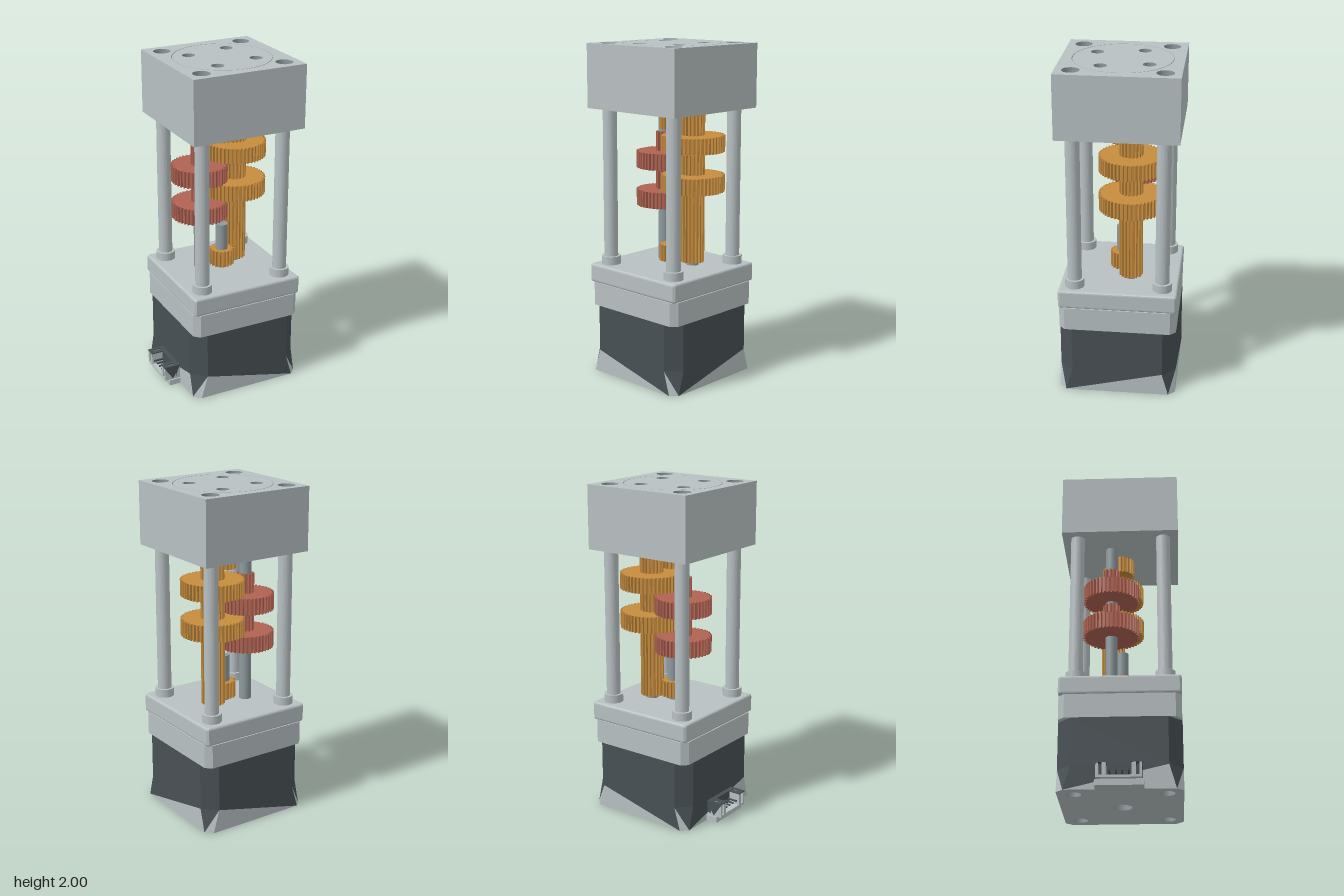
import * as THREE from 'three';

const mat = (name, color, side = THREE.FrontSide) => {
  const m = new THREE.MeshStandardMaterial({ color, side });
  m.name = name;
  return m;
};

const CX = 0.05, HALF = 0.352;
const HOLE_X = 0.26, HOLE_Z = 0.26;

export function createModel() {
  const silver = mat('silver', 0xb8c0c2);
  const steel = mat('steel', 0x8e9a9e, THREE.DoubleSide);
  const dark = mat('charcoal', 0x485054);
  const gold = mat('brass', 0xc68c3e);
  const red = mat('copper red', 0xb06352);

  const root = new THREE.Group();
  const model = new THREE.Group();
  root.add(model);

  const add = (name, geo, material, x = 0, y = 0, z = 0) => {
    const mesh = new THREE.Mesh(geo, material);
    mesh.name = name;
    mesh.position.set(x, y, z);
    model.add(mesh);
    return mesh;
  };
  const box = (name, material, x0, x1, y0, y1, z0, z1) =>
    add(name, new THREE.BoxGeometry(x1 - x0, y1 - y0, z1 - z0), material,
      (x0 + x1) / 2, (y0 + y1) / 2, (z0 + z1) / 2);
  const rod = (name, material, r, y0, y1, x, z) =>
    add(name, new THREE.CylinderGeometry(r, r, y1 - y0, 32), material, x, (y0 + y1) / 2, z);
  const liner = (name, material, r, y0, y1, x, z) =>
    add(name, new THREE.CylinderGeometry(r, r, y1 - y0, 32, 1, true), material, x, (y0 + y1) / 2, z);
  const ring = (name, material, r0, r1, x, y, z, up = 1) =>
    add(name, new THREE.RingGeometry(r0, r1, 64).rotateX(-up * Math.PI / 2), material, x, y, z);

  // Square outline with cut corners, counter-clockwise from the front edge
  const outline = (c, h = HALF) => [
    [-h + c, -h], [h - c, -h], [h, -h + c], [h, h - c],
    [h - c, h], [-h + c, h], [-h, h - c], [-h, -h + c],
  ].map(([x, s]) => new THREE.Vector2(x, s));
  const circle = (x, z, r) => new THREE.Path().absarc(x, -z, r, 0, Math.PI * 2, true);
  const corners = [];
  for (const sx of [-1, 1]) for (const sz of [-1, 1]) corners.push([sx * HOLE_X, sz * HOLE_Z]);
  const cornerHoles = r => corners.map(([x, z]) => circle(x, z, r));

  const slabGeo = (shape, y0, y1, bevel = 0) =>
    new THREE.ExtrudeGeometry(shape, {
      depth: y1 - y0 - 2 * bevel, curveSegments: 32, bevelEnabled: bevel > 0,
      bevelSize: bevel, bevelThickness: bevel, bevelOffset: -bevel, bevelSegments: 3,
    }).rotateX(-Math.PI / 2).translate(0, y0 + bevel, 0);
  const slab = (name, material, pts, holes, y0, y1, bevel) => {
    const shape = new THREE.Shape(pts);
    shape.holes.push(...holes);
    return add(name, slabGeo(shape, y0, y1, bevel), material, CX);
  };

  // Motor: dark core, silver upper cap, mounting plate
  slab('motorCore', dark, outline(0.08), cornerHoles(0.031), 0.14, 0.42);
  slab('motorUpperCap', silver, outline(0.035, 0.35), cornerHoles(0.031), 0.42, 0.562);
  slab('mountingPlate', silver, outline(0.012), cornerHoles(0.031), 0.562, 0.675, 0.014);

  // Tapered motor foot: every side is split diagonally into silver and dark
  const top = outline(0.08), bottom = outline(0.04);
  const lower = [], upper = [];
  for (let i = 0; i < 8; i++) {
    const j = (i + 1) % 8;
    const ba = [bottom[i].x, 0, -bottom[i].y], bb = [bottom[j].x, 0, -bottom[j].y];
    const ta = [top[i].x, 0.14, -top[i].y], tb = [top[j].x, 0.14, -top[j].y];
    if (i % 4 < 2) {
      lower.push(...ba, ...bb, ...ta);
      upper.push(...bb, ...tb, ...ta);
    } else {
      lower.push(...ba, ...bb, ...tb);
      upper.push(...ba, ...tb, ...ta);
    }
  }
  const facets = list => {
    const g = new THREE.BufferGeometry();
    g.setAttribute('position', new THREE.Float32BufferAttribute(list, 3));
    g.computeVertexNormals();
    return g;
  };
  add('motorFootSilver', facets(lower), silver, CX);
  add('motorFootDark', facets(upper), dark, CX);
  const base = new THREE.Shape(bottom);
  base.holes.push(...cornerHoles(0.045), circle(0, 0, 0.058));
  add('motorBase', new THREE.ShapeGeometry(base, 32).rotateX(Math.PI / 2), silver, CX);
  liner('baseCentreBore', steel, 0.058, 0, 0.06, CX, 0);
  add('baseCentreFloor', new THREE.CircleGeometry(0.058, 32).rotateX(Math.PI / 2), silver, CX, 0.06, 0);

  // Top block with counterbored corners, blind holes and a circular groove
  const blind = [[-0.16, -0.11], [0.11, -0.16], [0.16, 0.11], [-0.11, 0.16]];
  slab('topBlockLower', silver, outline(0), cornerHoles(0.031), 1.62, 1.9);
  slab('topBlockUpper', silver, outline(0), [...cornerHoles(0.051), circle(0, 0, 0.291)], 1.9, 2);
  const disc = new THREE.Shape().absarc(0, 0, 0.286, 0, Math.PI * 2);
  disc.holes.push(...blind.map(([x, z]) => circle(x, z, 0.038)));
  add('topDisc', slabGeo(disc, 1.9, 2), silver, CX);
  ring('grooveFloor', steel, 0.285, 0.292, CX, 1.99, 0);
  for (const [x, z] of blind) {
    liner('blindHoleWall', steel, 0.0375, 1.9, 1.9995, CX + x, z);
    add('blindHoleFloor', new THREE.CircleGeometry(0.038, 32).rotateX(-Math.PI / 2), steel, CX + x, 1.902, z);
  }

  // Hollow corner posts with collars and through bores
  const tube = (name, r, y0, y1, x, z) => {
    const pts = [[0.03, y0], [r, y0], [r, y1], [0.03, y1]].map(p => new THREE.Vector2(...p));
    const g = new THREE.LatheGeometry(pts, 32).toNonIndexed();
    g.computeVertexNormals();
    return add(name, g, silver, x, 0, z);
  };
  for (const [dx, z] of corners) {
    const x = CX + dx;
    tube('cornerPost', 0.042, 0.67, 1.625, x, z);
    tube('postCollar', 0.058, 0.67, 0.725, x, z);
    liner('throughBore', steel, 0.03, 0.05, 1.9, x, z);
    liner('counterboreWall', steel, 0.0505, 1.9, 1.9995, x, z);
    ring('counterboreFloor', steel, 0.03, 0.051, x, 1.902, z);
    liner('baseHoleWall', silver, 0.045, 0, 0.05, x, z).material = steel;
    ring('baseHoleFloor', silver, 0.03, 0.045, x, 0.05, z, -1);
  }

  // Toothed gear: each tooth is a small trapezoid around the pitch circle
  const gear = (name, material, r, teeth, y0, y1, x, z) => {
    const pts = [], depth = 0.013, step = Math.PI * 2 / teeth;
    for (let i = 0; i < teeth; i++) {
      for (const [f, rr] of [[0, r - depth], [0.4, r - depth], [0.55, r], [0.85, r]]) {
        const a = (i + f) * step;
        pts.push(new THREE.Vector2(Math.cos(a) * rr, Math.sin(a) * rr));
      }
    }
    return add(name, slabGeo(new THREE.Shape(pts), y0, y1), material, x, 0, z);
  };

  // Shafts: motor and output in the middle, two idler shafts behind
  const A = [0.165, -0.06], B = [-0.07, -0.06], C = [CX, 0];
  rod('motorShaft', steel, 0.037, 0.67, 0.96, ...C);
  rod('rightIdlerShaft', steel, 0.036, 0.67, 1.622, ...B);
  rod('leftIdlerShaft', steel, 0.036, 0.67, 1.622, ...A);

  // Gear train
  gear('motorPinion', gold, 0.076, 18, 0.695, 0.795, ...C);
  gear('longPinion', gold, 0.071, 18, 0.695, 1.112, ...A);
  gear('lowerBrassGear', gold, 0.19, 48, 1.13, 1.23, ...A);
  gear('lowerBrassPinion', gold, 0.071, 18, 1.23, 1.348, ...A);
  gear('upperBrassGear', gold, 0.19, 48, 1.37, 1.465, ...A);
  gear('upperBrassPinion', gold, 0.071, 18, 1.465, 1.605, ...A);
  gear('lowerRedGear', red, 0.17, 42, 1.014, 1.113, ...B);
  gear('lowerRedPinion', red, 0.052, 12, 1.113, 1.23, ...B);
  gear('upperRedGear', red, 0.17, 42, 1.247, 1.347, ...B);
  gear('upperRedPinion', red, 0.052, 12, 1.347, 1.465, ...B);
  gear('outputGear', gold, 0.076, 18, 1.5, 1.602, ...C);
  rod('outputHub', gold, 0.046, 1.6, 1.63, ...C);

  // Plug socket on the right side: silver shell, dark rim and pins
  box('socketBase', silver, -0.375, -0.29, 0, 0.036, -0.135, 0.135);
  box('socketFloor', silver, -0.402, -0.3, 0.036, 0.05, -0.126, 0.126);
  box('socketBack', dark, -0.33, -0.29, 0.05, 0.126, -0.126, 0.126);
  for (const s of [-1, 1]) {
    const span = (a, b) => (s > 0 ? [a, b] : [-b, -a]);
    box('socketWall', silver, -0.402, -0.3, 0.05, 0.12, ...span(0.112, 0.126));
    box('socketInnerWall', silver, -0.402, -0.33, 0.05, 0.12, ...span(0.07, 0.092));
    box('socketRimOuter', dark, -0.404, -0.3, 0.12, 0.126, ...span(0.11, 0.127));
    box('socketRimInner', dark, -0.404, -0.33, 0.12, 0.126, ...span(0.068, 0.094));
    box('socketRimEnd', dark, -0.404, -0.372, 0.12, 0.126, ...span(0.094, 0.11));
    const side = new THREE.Shape([[-0.404, 0.12], [-0.35, 0.04], [-0.3, 0.12]].map(p => new THREE.Vector2(...p)));
    add('socketSideFace', new THREE.ExtrudeGeometry(side, { depth: 0.002, bevelEnabled: false }),
      dark, 0, 0, s > 0 ? 0.1255 : -0.1275);
  }
  for (let i = 0; i < 4; i++) {
    const z = -0.0525 + i * 0.035;
    box('socketPin', dark, -0.395, -0.33, 0.075, 0.084, z - 0.004, z + 0.004);
  }
  return root;
}
